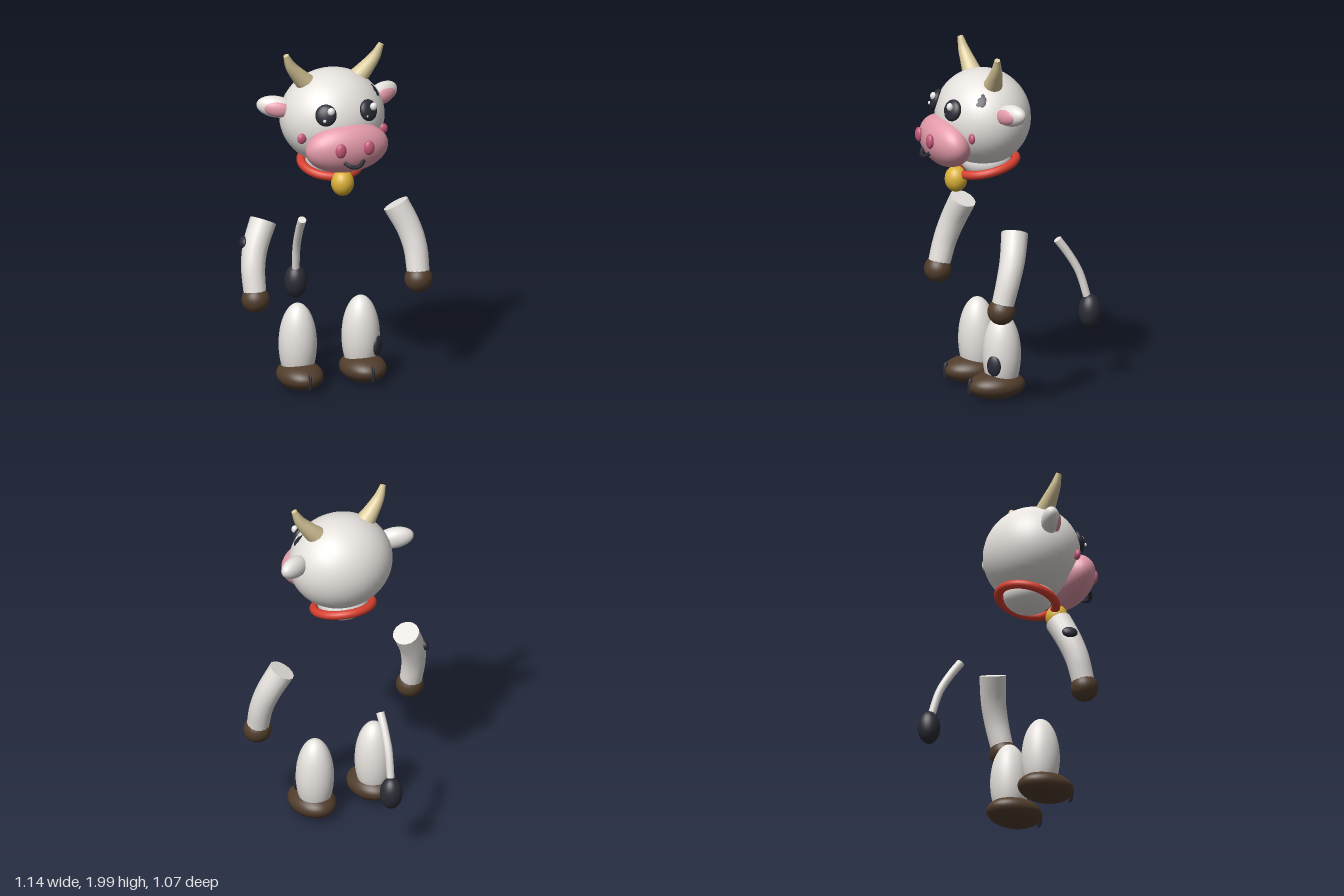
import * as THREE from 'three';

const paint = (name, color) => {
  const m = new THREE.MeshStandardMaterial({ color });
  m.name = name;
  return m;
};
const V = (p) => new THREE.Vector3(...p);

export function createModel() {
  const root = new THREE.Group();
  root.name = 'cow';
  const white = paint('white', 0xe6e2de);
  const black = paint('black', 0x2b2b36);
  const pink = paint('pink', 0xe39aa9);
  const rose = paint('rose', 0xc4587a);
  const cream = paint('cream', 0xdccb9c);
  const brown = paint('brown', 0x513d2c);
  const red = paint('red', 0xd8402f);
  const gold = paint('gold', 0xdbb136);
  const shine = paint('shine', 0xffffff);

  const add = (name, geometry, material) => {
    const mesh = new THREE.Mesh(geometry, material);
    mesh.name = name;
    root.add(mesh);
    return mesh;
  };

  // Ellipsoid; with a normal, its thin z axis turns to face along it
  const blob = (name, material, pos, radii, normal) => {
    const big = Math.max(...radii) > 0.1;
    const g = new THREE.SphereGeometry(1, big ? 40 : 24, big ? 28 : 16);
    const mesh = add(name, g.scale(...radii), material);
    mesh.position.set(...pos);
    if (normal) mesh.lookAt(V(pos).add(V(normal)));
    return mesh;
  };

  // Capped, tapered cylinder bent along a curve
  const limb = (name, material, points, r0, r1, ref, sides) => {
    const curve = new THREE.CatmullRomCurve3(points.map(V));
    const g = new THREE.CylinderGeometry(r1, r0, 1, sides, 12);
    const { position: p, normal: n } = g.attributes;
    const m = new THREE.Matrix4();
    const v = new THREE.Vector3();
    for (let i = 0; i < p.count; i++) {
      const t = p.getY(i) + 0.5;
      const T = curve.getTangent(t);
      const X = V(ref).addScaledVector(T, -V(ref).dot(T)).normalize();
      m.makeBasis(X, T, X.clone().cross(T));
      v.set(p.getX(i), 0, p.getZ(i)).applyMatrix4(m).add(curve.getPoint(t));
      p.setXYZ(i, v.x, v.y, v.z);
      v.fromBufferAttribute(n, i).applyMatrix4(m);
      n.setXYZ(i, v.x, v.y, v.z);
    }
    return add(name, g, material);
  };

  // Head, neck and muzzle
  blob('head', white, [0, 1.6, 0.165], [0.3, 0.272, 0.267]);
  blob('neck', white, [0, 1.345, 0.145], [0.145, 0.1, 0.14]);
  blob('muzzle', pink, [0, 1.48, 0.39], [0.245, 0.147, 0.125]).rotation.x = 0.25;
  blob('eyePatch', black, [0.145, 1.735, 0.3], [0.125, 0.102, 0.036], [1.72, 2.05, 2.14]).rotateZ(-0.1);

  // Smile
  const smile = new THREE.CatmullRomCurve3(
    [[-0.058, 1.43, 0.5], [-0.032, 1.41, 0.52], [0, 1.402, 0.525], [0.032, 1.41, 0.52], [0.058, 1.43, 0.5]].map(V));
  add('mouth', new THREE.TubeGeometry(smile, 20, 0.012, 8), black);

  // Collar and bell
  const collar = add('collar', new THREE.TorusGeometry(0.165, 0.025, 14, 48), red);
  collar.position.set(0, 1.318, 0.137);
  collar.rotation.x = Math.PI / 2 + 0.24;
  blob('bell', gold, [0, 1.25, 0.325], [0.065, 0.075, 0.064]);

  for (const s of [1, -1]) {
    // Eyes with two highlights each
    const ex = s * 0.128;
    blob('eye', black, [ex, 1.685, 0.395], [0.06, 0.062, 0.03], [s * 1.4, 1.1, 3.1]);
    blob('eyeHighlight', shine, [ex + 0.022, 1.712, 0.42], [0.021, 0.023, 0.018]);
    blob('smallHighlight', shine, [ex - 0.02, 1.663, 0.428], [0.01, 0.01, 0.008]);

    // Nostrils and cheeks
    blob('nostril', rose, [s * 0.085, 1.505, 0.515], [0.032, 0.042, 0.021]);
    blob('cheek', rose, [s * 0.245, 1.54, 0.325], [0.027, 0.03, 0.017]);

    // Ears sweep outward and back
    const tilt = [0, s * 0.4, s * 0.15];
    blob('ear', white, [s * 0.32, 1.675, 0.118], [0.11, 0.062, 0.052]).rotation.set(...tilt);
    blob('innerEar', pink, [s * 0.322, 1.67, 0.15], [0.082, 0.045, 0.03]).rotation.set(...tilt);

    // Horns
    limb('horn', cream, [[s * 0.13, 1.78, 0.163], [s * 0.195, 1.85, 0.17], [s * 0.255, 1.925, 0.18], [s * 0.287, 1.995, 0.188]],
      0.062, 0.016, [0, 0, 1], 20);

    // Arms and front hooves
    limb('arm', white, [[s * 0.4, 1.015, 0.127], [s * 0.463, 0.88, 0.165], [s * 0.49, 0.765, 0.2], [s * 0.493, 0.63, 0.235]],
      0.076, 0.064, [0, 0, 1], 14);
    blob('handHoof', brown, [s * 0.492, 0.595, 0.243], [0.08, 0.077, 0.078]);

    // Legs, hooves and the cleft at each toe
    blob('leg', white, [s * 0.19, 0.26, 0.123], [0.108, 0.238, 0.108]);
    blob('hoof', brown, [s * 0.19, 0.085, 0.155], [0.128, 0.078, 0.165]);
    blob('hoofCleft', black, [s * 0.19, 0.083, 0.31], [0.01, 0.053, 0.019]);
  }

  // Spots on one arm and one leg
  blob('armSpot', black, [-0.522, 0.905, 0.135], [0.045, 0.034, 0.022], [-1, 0.3, -0.25]);
  blob('legSpot', black, [0.261, 0.213, 0.198], [0.042, 0.06, 0.021], [1, 0, 1]);

  // Tail and tuft
  limb('tail', white, [[0, 0.838, -0.285], [0.006, 0.755, -0.345], [0.016, 0.64, -0.41], [0.029, 0.48, -0.457]],
    0.024, 0.022, [1, 0, 0], 14);
  blob('tailTuft', black, [0.033, 0.415, -0.467], [0.064, 0.097, 0.064]);

  return root;
}
